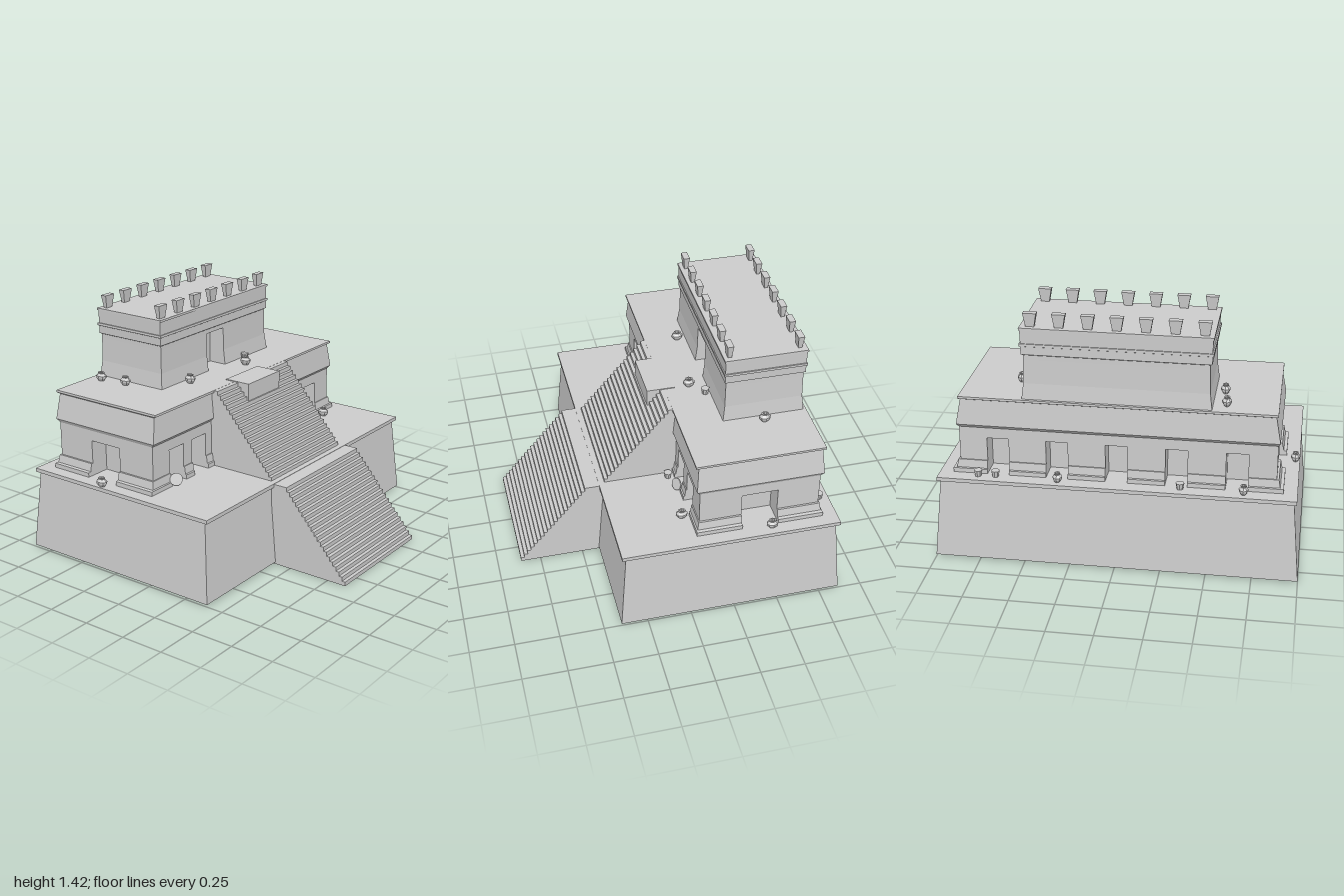
import * as THREE from 'three';

const stone = new THREE.MeshStandardMaterial({ color: 0xcccccc, flatShading: true });
const stoneOpen = new THREE.MeshStandardMaterial({ color: 0xcccccc, flatShading: true, side: THREE.DoubleSide });

// The four walls: outward normal and direction of travel, as [x, z]
const SIDES = [
  { n: [0, 1], t: [1, 0], key: 'front' },
  { n: [1, 0], t: [0, -1], key: 'side' },
  { n: [0, -1], t: [-1, 0], key: 'back' },
  { n: [-1, 0], t: [0, 1], key: 'side' },
];

// Rectangular floor plan with doorway notches cut into its sides
function plan(hx, hz, doors) {
  const pts = [];
  for (const { n, t, key } of SIDES) {
    const [len, dist, inner] = n[0] ? [hz, hx, doors.innerX] : [hx, hz, doors.innerZ];
    const add = (s, d) => pts.push([n[0] * d + t[0] * s, n[1] * d + t[1] * s]);
    add(-len, dist);
    for (const [c, h] of doors[key] || []) {
      add(c - h, dist);
      add(c - h, inner);
      add(c + h, inner);
      add(c + h, dist);
    }
  }
  return pts;
}

// Stack of floor plans; profile rows are [y, half width, half depth]
function loft(profile, doors = {}, openBottom = false) {
  const rings = profile.map(([y, hx, hz]) => plan(hx, hz, doors).map(([x, z]) => [x, y, z]));
  const pos = [];
  const tri = (a, b, c) => pos.push(...a, ...b, ...c);
  for (let k = 0; k + 1 < rings.length; k++) {
    const lo = rings[k], hi = rings[k + 1];
    lo.forEach((a, i) => {
      const j = (i + 1) % lo.length;
      tri(a, lo[j], hi[j]);
      tri(a, hi[j], hi[i]);
    });
  }
  const cap = (ring, up) => {
    const outline = ring.map(([x, , z]) => new THREE.Vector2(x, -z));
    for (const [a, b, c] of THREE.ShapeUtils.triangulateShape(outline, [])) {
      if (up) tri(ring[a], ring[b], ring[c]);
      else tri(ring[a], ring[c], ring[b]);
    }
  };
  cap(rings[rings.length - 1], true);
  if (!openBottom) cap(rings[0], false);
  const g = new THREE.BufferGeometry();
  g.setAttribute('position', new THREE.Float32BufferAttribute(pos, 3));
  g.computeVertexNormals();
  return g;
}

// Solid stair: steps climb from (z0, y0) back to (z1, y1), then run level to zBack
function stair(halfWidth, z0, y0, z1, y1, zBack, steps) {
  const s = new THREE.Shape();
  const run = (z0 - z1) / steps, rise = (y1 - y0) / steps;
  s.moveTo(-z0, y0);
  for (let i = 0; i < steps; i++) {
    s.lineTo(-z0 + i * run, y0 + (i + 1) * rise);
    s.lineTo(-z0 + (i + 1) * run, y0 + (i + 1) * rise);
  }
  s.lineTo(-zBack, y1);
  s.lineTo(-zBack, y0);
  const g = new THREE.ExtrudeGeometry(s, { depth: halfWidth * 2, bevelEnabled: false });
  return g.translate(0, 0, -halfWidth).rotateY(Math.PI / 2);
}

export function createModel() {
  const model = new THREE.Group();
  const add = (name, geo, x = 0, y = 0, z = 0, mat = stone) => {
    const m = new THREE.Mesh(geo, mat);
    m.name = name;
    m.position.set(x, y, z);
    model.add(m);
    return m;
  };

  // Sloping base platform, hollow underneath, with a thin lip
  add('basePlatform', loft([
    [0.012, 1, 0.632], [0.465, 0.96, 0.595], [0.465, 0.975, 0.618], [0.487, 0.975, 0.618],
  ], {}, true), 0, 0, -0.232, stoneOpen);

  // Stairs and the block at their head
  add('lowerStair', stair(0.37, 0.865, 0, 0.45, 0.485, 0.37, 20));
  add('upperStair', stair(0.345, 0.352, 0.485, -0.04, 0.94, -0.1, 19));
  add('stairHead', new THREE.BoxGeometry(0.305, 0.115, 0.16), 0, 0.888, -0.025);

  // Middle storey: doorways on every side, plinth broken at the doors
  const doors = {
    innerX: 0.75, innerZ: 0.23,
    front: [-0.66, -0.462, 0.462, 0.66].map(c => [c, 0.061]),
    back: [-0.65, -0.325, 0, 0.325, 0.65].map(c => [c, 0.06]),
    side: [[0, 0.102]],
  };
  const midZ = -0.408;
  add('middlePlinth', loft([
    [0.485, 0.9, 0.36], [0.512, 0.9, 0.36], [0.515, 0.882, 0.352], [0.56, 0.873, 0.346], [0.56, 0.862, 0.338],
  ], doors), 0, 0, midZ);
  add('middleWalls', loft([[0.56, 0.862, 0.34], [0.695, 0.862, 0.34]], doors), 0, 0, midZ);
  add('middleCornice', loft([
    [0.695, 0.862, 0.34], [0.755, 0.862, 0.34], [0.775, 0.873, 0.358], [0.92, 0.846, 0.346],
    [0.928, 0.856, 0.362], [0.941, 0.856, 0.362],
  ]), 0, 0, midZ);

  // Upper temple: flared foot, one doorway, banded top
  const topZ = -0.522;
  const gate = { innerX: 0.3, innerZ: 0.12, front: [[0, 0.08]] };
  add('templeWalls', loft([
    [0.94, 0.508, 0.232], [1.03, 0.497, 0.222], [1.165, 0.494, 0.22],
  ], gate), 0, 0, topZ);
  add('templeTop', loft([
    [1.165, 0.494, 0.22], [1.19, 0.494, 0.22], [1.195, 0.504, 0.228], [1.24, 0.506, 0.228],
    [1.243, 0.512, 0.234], [1.257, 0.512, 0.234], [1.257, 0.505, 0.228], [1.332, 0.507, 0.229],
    [1.332, 0.512, 0.234], [1.345, 0.512, 0.234],
  ]), 0, 0, topZ);

  // Two rows of roof finials
  const finial = loft([[1.34, 0.022, 0.01], [1.42, 0.036, 0.018]]);
  for (const z of [-0.322, -0.716])
    for (let i = -3; i <= 3; i++) add('roofFinial', finial, i * 0.153 - 0.003, 0, z);

  // Round jars with open mouths
  const v = (r, y) => new THREE.Vector2(r, y);
  const jar = new THREE.LatheGeometry(
    [v(0, 0), v(0.014, 0), v(0.025, 0.018), v(0.026, 0.03), v(0.015, 0.044), v(0.017, 0.05), v(0.01, 0.05), v(0.008, 0.03), v(0, 0.03)], 8);
  const low = 0.487, high = 0.941;
  const jars = [
    [-0.69, low, -0.8], [0.315, low, -0.8], [-0.95, low, -0.365], [0.92, low, -0.47], [0.73, low, -0.005],
    [-0.58, high, -0.68], [-0.56, high, -0.515], [0.555, high, -0.515], [-0.315, high, -0.24], [0.15, high, -0.19],
  ];
  for (const p of jars) add('jar', jar, ...p, stoneOpen).scale.z = 1.3;

  // Low bowls
  const bowl = new THREE.CylinderGeometry(0.024, 0.017, 0.036, 8);
  for (const [x, y, z] of [[0.24, high, -0.262], [0.385, low, -0.012], [-0.35, low, -0.79], [0.66, low, -0.79], [0.755, low, -0.795]])
    add('bowl', bowl, x, y + 0.018, z);

  // Round shields leaning on the front plinth
  const shield = new THREE.CylinderGeometry(0.036, 0.036, 0.008, 12);
  add('leaningShield', shield, -0.708, 0.527, -0.033).rotation.set(1.2, 0, 0.75);
  add('leaningShield', shield, 0.5, 0.527, -0.035).rotation.set(1.2, 0, -0.4);

  return model;
}
